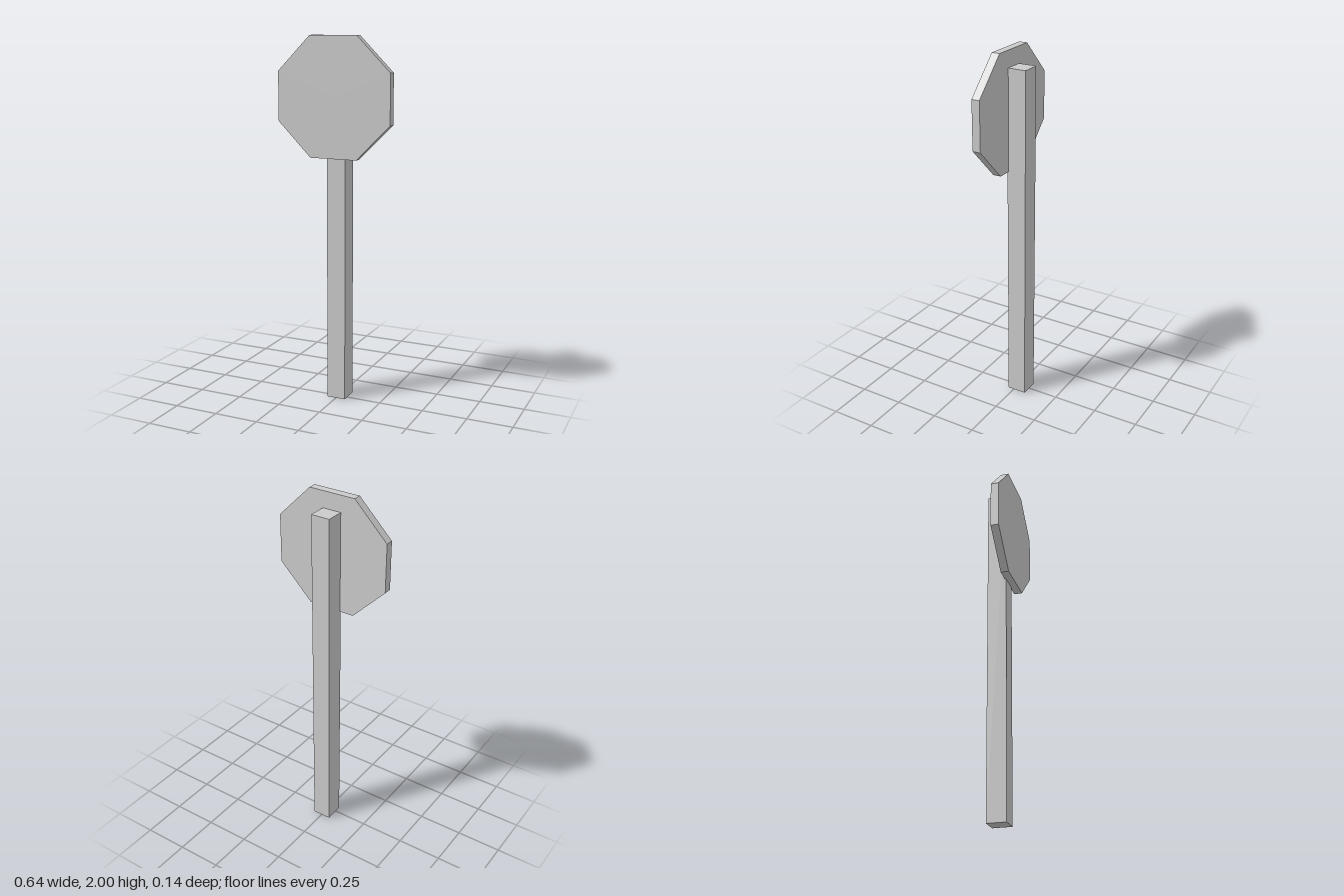
import * as THREE from 'three';

export function createModel() {
  const group = new THREE.Group();
  const material = new THREE.MeshStandardMaterial({ color: 0xcccccc, flatShading: true });

  const add = (name, geometry, x, y, z) => {
    const mesh = new THREE.Mesh(geometry, material);
    mesh.name = name;
    mesh.position.set(x, y, z);
    group.add(mesh);
  };

  // Square post, its front face set slightly into the panel
  const postHeight = 1.91;
  add('post', new THREE.BoxGeometry(0.106, postHeight, 0.107), 0, postHeight / 2, -0.019);

  // Octagonal sign panel with flat sides at top and bottom
  const apothem = 0.321;
  const radius = apothem / Math.cos(Math.PI / 8);
  const panel = new THREE.CylinderGeometry(radius, radius, 0.045, 8, 1, false, Math.PI / 8);
  panel.rotateX(Math.PI / 2);
  add('signPanel', panel, 0, 2 - apothem, 0.05);

  return group;
}
